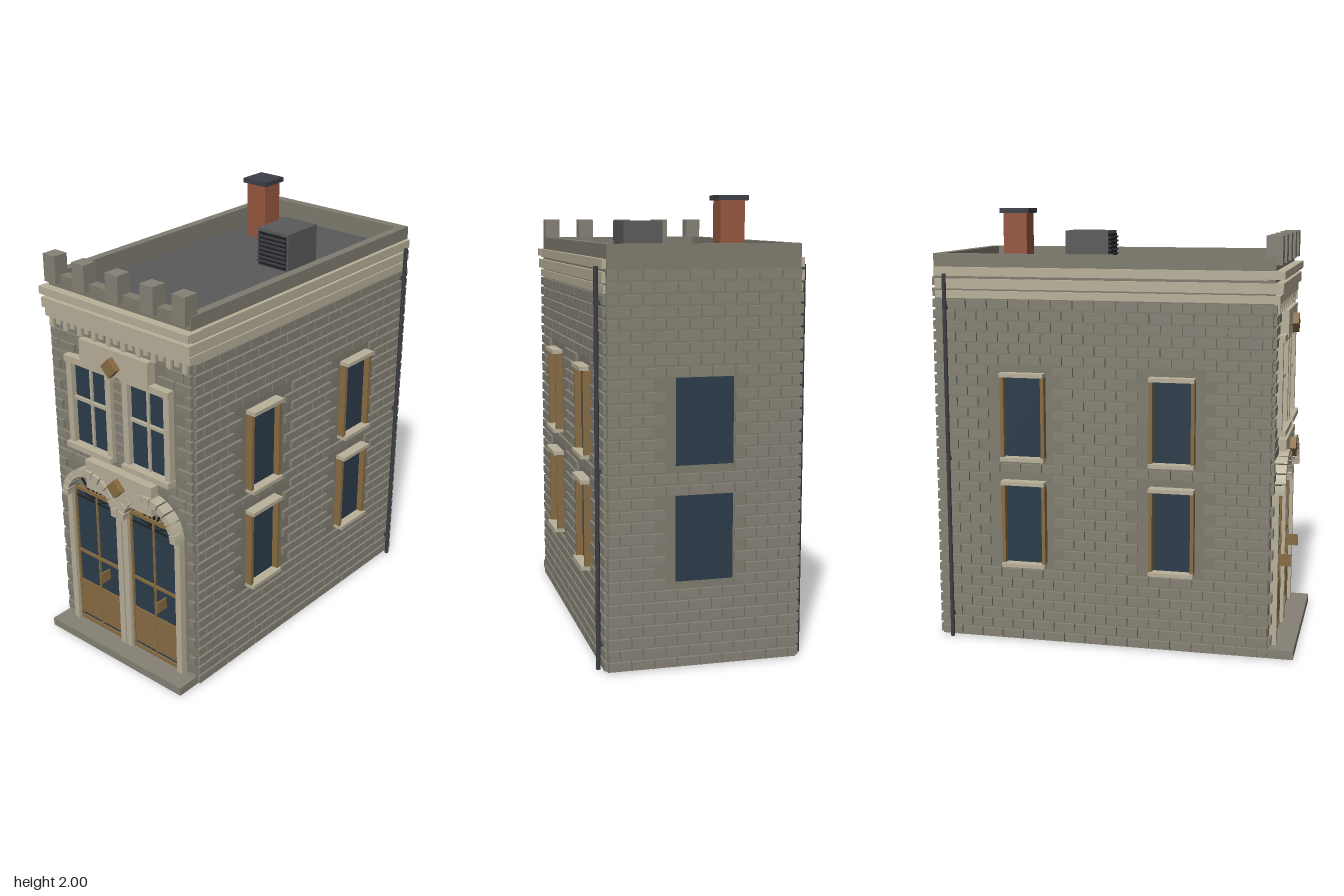
import * as THREE from 'three';
import { mergeGeometries } from 'three/addons/utils/BufferGeometryUtils.js';

const mat = (name, color) => {
  const m = new THREE.MeshStandardMaterial({ color });
  m.name = name;
  return m;
};

export function createModel() {
  const model = new THREE.Group();
  model.name = 'townBuilding';

  const wallStone = mat('wallStone', 0x7f7b6f);
  const brickStone = mat('brickStone', 0x858175);
  const trim = mat('creamTrim', 0xb8b09a);
  const wood = mat('wood', 0x876c43);
  const glass = mat('darkGlass', 0x2c3c4a);
  const roofGrey = mat('roofGrey', 0x5a5a5a);
  const metal = mat('darkMetal', 0x3c3f45);
  const redBrick = mat('redBrick', 0x96573f);
  const iron = mat('blackIron', 0x1d1f22);

  const add = (name, geo, m, parent = model) => {
    const mesh = new THREE.Mesh(geo, m);
    mesh.name = name;
    parent.add(mesh);
    return mesh;
  };
  // Box given by its low and high corners
  const boxGeo = (x0, x1, y0, y1, z0, z1) =>
    new THREE.BoxGeometry(x1 - x0, y1 - y0, z1 - z0).translate((x0 + x1) / 2, (y0 + y1) / 2, (z0 + z1) / 2);
  const box = (name, m, x0, x1, y0, y1, z0, z1, parent) => add(name, boxGeo(x0, x1, y0, y1, z0, z1), m, parent);

  // Core walls and roof deck
  box('wallCore', wallStone, -0.42, 0.42, 0, 1.69, -0.82, 0.725);
  box('roofDeck', roofGrey, -0.39, 0.39, 1.69, 1.71, -0.79, 0.7);

  // Running-bond courses on a wall, u along the wall, skipping openings [u0,u1,y0,y1]
  const ROW = 0.05, LEN = 0.1, GAP = 0.006, DEPTH = 0.014;
  function brickWall(name, u0, u1, top, holes, place) {
    const geos = [];
    for (let r = 0; r * ROW < top - 0.01; r++) {
      const y0 = r * ROW + GAP, y1 = (r + 1) * ROW - GAP;
      for (let u = u0 - (r % 2) * LEN / 2; u < u1 - 0.01; u += LEN) {
        const a = Math.max(u, u0) + GAP / 2, b = Math.min(u + LEN, u1) - GAP / 2;
        if (b - a < 0.015) continue;
        if (holes.some(h => a < h[1] && b > h[0] && y0 < h[3] && y1 > h[2])) continue;
        geos.push(boxGeo(a, b, y0, y1, -0.005, DEPTH));
      }
    }
    place(add(name, mergeGeometries(geos), brickStone));
  }
  const floors = [[0.38, 0.75], [0.88, 1.25]];
  const sideBays = [0.285, -0.405];
  for (const s of [-1, 1]) {
    const holes = [];
    for (const z of sideBays) for (const [a, b] of floors) holes.push([-s * z - 0.12, -s * z + 0.12, a - 0.02, b + 0.02]);
    const lo = s > 0 ? -0.725 : -0.82;
    brickWall(s > 0 ? 'leftBricks' : 'rightBricks', lo, lo + 1.545, 1.6, holes, m => {
      m.rotation.y = s * Math.PI / 2;
      m.position.x = s * 0.42;
    });
  }
  brickWall('backBricks', -0.42, 0.42, 1.7, floors.map(([a, b]) => [-0.13, 0.13, a, b]), m => {
    m.rotation.y = Math.PI;
    m.position.z = -0.82;
  });
  brickWall('frontBricks', -0.42, 0.42, 1.6,
    [[-0.35, 0.35, 0, 0.8], [-0.3, 0.3, 0.8, 0.86], [-0.2, 0.2, 0.86, 0.96], [-0.31, -0.035, 1.0, 1.45], [0.035, 0.31, 1.0, 1.45], [-0.2, 0.2, 1.44, 1.55]],
    m => { m.position.z = 0.725; });
  // Stacked blocks between the upper windows
  for (let y = 1.0; y < 1.4; y += 0.05) box('centrePierBlock', brickStone, -0.033, 0.033, y + GAP, y + 0.05 - GAP, 0.72, 0.74);

  // Front step
  box('frontStep', brickStone, -0.42, 0.42, 0, 0.04, 0.72, 0.84);

  // Side windows: glass, wooden jambs, cream sill and lintel
  for (const s of [-1, 1]) for (const z of sideBays) for (const [a, b] of floors) {
    const g = new THREE.Group();
    g.name = 'sideWindow';
    model.add(g);
    const span = (name, m, x0, x1, y0, y1, z0, z1) =>
      box(name, m, Math.min(s * x0, s * x1), Math.max(s * x0, s * x1), y0, y1, z0, z1, g);
    span('sideGlass', glass, 0.415, 0.426, a, b, z - 0.1, z + 0.1);
    for (const e of [-1, 1]) span('sideJamb', wood, 0.415, 0.456, a, b, z + e * 0.095 - 0.008, z + e * 0.095 + 0.008);
    span('sideSill', trim, 0.415, 0.47, a - 0.018, a, z - 0.103, z + 0.103);
    span('sideLintel', trim, 0.415, 0.47, b, b + 0.018, z - 0.103, z + 0.103);
  }
  // Back windows
  for (const [a, b] of floors) box('backGlass', glass, -0.125, 0.125, a, b, -0.828, -0.815);

  // One stone of an arch
  function voussoir(r0, r1, a0, a1) {
    const s = new THREE.Shape();
    s.absarc(0, 0, r1, a0, a1, false);
    s.absarc(0, 0, r0, a1, a0, true);
    return new THREE.ExtrudeGeometry(s, { depth: 0.06, bevelEnabled: false, curveSegments: 3 });
  }

  // Arched doors
  for (const cx of [-0.18, 0.18]) {
    const d = new THREE.Group();
    d.name = 'archedDoor';
    d.position.x = cx;
    model.add(d);
    box('doorGlass', glass, -0.143, 0.143, 0.04, 0.77, 0.72, 0.731, d);
    box('doorPanel', wood, -0.135, 0.135, 0.075, 0.265, 0.72, 0.738, d);
    box('doorBottomRail', wood, -0.143, 0.143, 0.04, 0.058, 0.72, 0.74, d);
    box('doorMidRail', wood, -0.135, 0.135, 0.423, 0.438, 0.72, 0.738, d);
    box('doorTopRail', wood, -0.148, 0.148, 0.765, 0.782, 0.72, 0.742, d);
    box('doorMullion', wood, -0.004, 0.004, 0.05, 0.77, 0.72, 0.74, d);
    for (const e of [-1, 1]) {
      box('doorStile', wood, e * 0.139 - 0.006, e * 0.139 + 0.006, 0.04, 0.77, 0.72, 0.74, d);
      box('doorPilaster', trim, e * 0.16 - 0.016, e * 0.16 + 0.016, 0.04, 0.74, 0.72, 0.757, d);
    }
    box('doorHandle', wood, 0.06, 0.068, 0.345, 0.4, 0.735, 0.795, d);
    // Arch stones
    const n = 11, step = Math.PI / n;
    for (let i = 0; i < n; i++) {
      add('archStone', voussoir(0.142, 0.177, i * step + 0.02, (i + 1) * step - 0.02), trim, d).position.set(0, 0.738, 0.724);
    }
    // Fanlight spokes
    for (let i = 1; i < 8; i++) {
      const spoke = add('fanSpoke', new THREE.BoxGeometry(0.115, 0.005, 0.014).translate(0.0825, 0, 0), iron, d);
      spoke.position.set(0, 0.728, 0.729);
      spoke.rotation.z = i * Math.PI / 8;
    }
    box('fanBase', iron, -0.14, 0.14, 0.726, 0.732, 0.724, 0.737, d);
  }

  // Upper front windows
  for (const s of [-1, 1]) {
    const w = new THREE.Group();
    w.name = 'upperWindow';
    w.position.x = s * 0.173;
    model.add(w);
    box('upperGlass', glass, -0.12, 0.12, 1.02, 1.43, 0.72, 0.731, w);
    for (const e of [-1, 1]) box('upperJamb', trim, e * 0.121 - 0.016, e * 0.121 + 0.016, 1.02, 1.43, 0.72, 0.757, w);
    box('upperSill', trim, -0.14, 0.14, 1.0, 1.026, 0.72, 0.775, w);
    box('upperLintel', trim, -0.14, 0.14, 1.42, 1.45, 0.72, 0.765, w);
    box('upperMullion', trim, -0.006, 0.006, 1.02, 1.43, 0.72, 0.742, w);
    box('upperCrossbar', trim, -0.11, 0.11, 1.238, 1.253, 0.72, 0.745, w);
  }

  // Plaques with wooden diamonds
  for (const [y0, y1, yd] of [[0.82, 0.965, 0.895], [1.435, 1.555, 1.48]]) {
    box('plaque', trim, -0.205, 0.205, y0, y1, 0.72, 0.77);
    const diamond = add('diamond', new THREE.BoxGeometry(0.064, 0.064, 0.05), wood);
    diamond.position.set(0, yd, 0.773);
    diamond.rotation.z = Math.PI / 4;
  }

  // Cornice bands along the front and sides, dentils below
  box('lowerBand', trim, -0.43, 0.43, 1.6, 1.635, -0.815, 0.752);
  box('middleBand', trim, -0.436, 0.436, 1.643, 1.688, -0.815, 0.765);
  box('upperBandFront', trim, -0.44, 0.44, 1.705, 1.74, 0.69, 0.772);
  for (const s of [-1, 1]) box('upperBandSide', trim, s * 0.41 - 0.026, s * 0.41 + 0.026, 1.7, 1.74, -0.815, 0.7);
  for (let i = 0; i < 19; i++) {
    const x = -0.396 + i * 0.044;
    box('dentil', trim, x - 0.012, x + 0.012, i % 2 ? 1.575 : 1.555, 1.602, 0.72, 0.75);
  }

  // Parapet and battlements
  for (const s of [-1, 1]) box('parapetSide', wallStone, s * 0.397 - 0.02, s * 0.397 + 0.02, 1.688, 1.8, -0.815, 0.73);
  box('parapetBack', wallStone, -0.417, 0.417, 1.688, 1.8, -0.825, -0.78);
  box('parapetFront', wallStone, -0.417, 0.417, 1.688, 1.8, 0.682, 0.73);
  for (const x of [-0.378, -0.2, 0, 0.2, 0.376]) box('merlon', brickStone, x - 0.036, x + 0.036, 1.765, 1.89, 0.685, 0.757);

  // Chimney
  box('chimney', redBrick, -0.26, -0.15, 1.7, 1.98, -0.54, -0.43);
  box('chimneyCap', metal, -0.274, -0.137, 1.978, 2.0, -0.553, -0.416);

  // Rooftop cooling unit with louvres
  box('coolingUnit', roofGrey, 0.057, 0.234, 1.7, 1.89, -0.335, -0.125);
  box('coolingGrille', iron, 0.067, 0.224, 1.72, 1.875, -0.126, -0.121);
  for (let y = 1.735; y < 1.87; y += 0.02) box('louvre', metal, 0.065, 0.226, y, y + 0.008, -0.125, -0.112);

  // Downspouts with wall brackets
  for (const s of [-1, 1]) {
    const pipe = add('downspout', new THREE.CylinderGeometry(0.01, 0.01, 1.71, 8), metal);
    pipe.position.set(s * 0.45, 0.855, -0.765);
    for (const y of [0.1, 0.85, 1.55]) box('pipeBracket', metal, s * 0.44 - 0.012, s * 0.44 + 0.012, y, y + 0.02, -0.773, -0.757);
  }
  return model;
}
